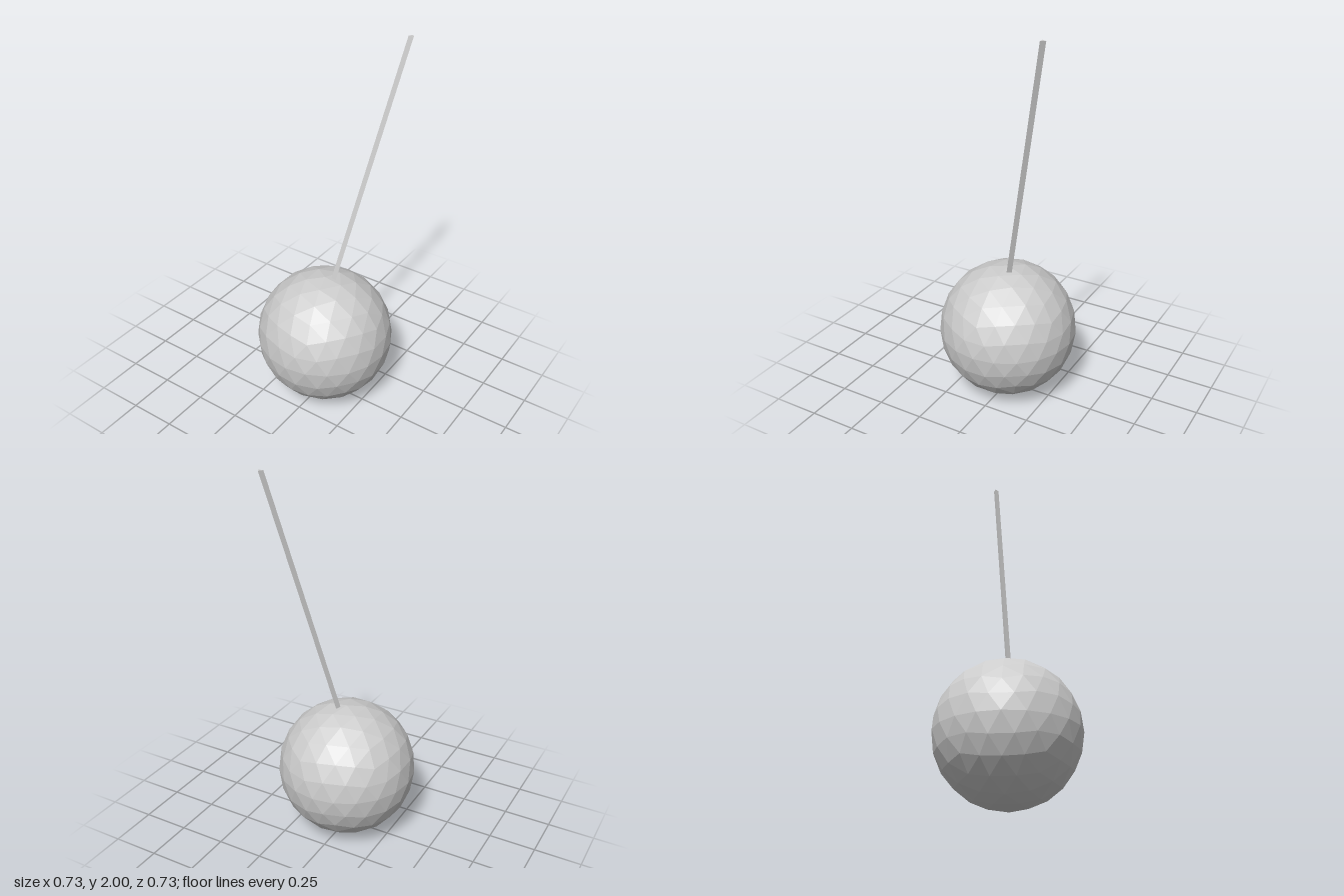
import * as THREE from 'three';

const RADIUS = 0.365;

// Icosphere standing on a vertex, each face halved `levels` times
function icosphere(radius, levels) {
  const lat = Math.atan(0.5);
  const ring = (sign, offset) => [0, 1, 2, 3, 4].map((k) => {
    const a = (k + offset) * Math.PI * 0.4;
    return new THREE.Vector3(Math.cos(lat) * Math.cos(a), sign * Math.sin(lat), Math.cos(lat) * Math.sin(a));
  });
  const top = new THREE.Vector3(0, 1, 0), bottom = new THREE.Vector3(0, -1, 0);
  const upper = ring(1, 0), lower = ring(-1, 0.5);
  const points = [];
  const mid = (p, q) => p.clone().add(q).normalize();
  const split = (a, b, c, n) => {
    if (n === 0) {
      points.push(...[a, b, c].map((p) => p.clone().multiplyScalar(radius)));
      return;
    }
    const ab = mid(a, b), bc = mid(b, c), ca = mid(c, a);
    split(a, ab, ca, n - 1);
    split(ab, b, bc, n - 1);
    split(ca, bc, c, n - 1);
    split(ab, bc, ca, n - 1);
  };
  for (let k = 0; k < 5; k++) {
    const j = (k + 1) % 5;
    split(top, upper[j], upper[k], levels);
    split(upper[k], upper[j], lower[k], levels);
    split(lower[j], lower[k], upper[j], levels);
    split(bottom, lower[k], lower[j], levels);
  }
  const geometry = new THREE.BufferGeometry().setFromPoints(points);
  geometry.computeVertexNormals();
  return geometry;
}

// Three-sided rod with level ends, sheared to run from one point to another
function slantedRod(from, to, radius) {
  const d = to.clone().sub(from);
  const geometry = new THREE.CylinderGeometry(radius, radius, d.y, 3, 1, false, Math.PI);
  geometry.translate(0, d.y / 2, 0);
  geometry.applyMatrix4(new THREE.Matrix4().set(
    1, d.x / d.y, 0, from.x,
    0, 1, 0, from.y,
    0, d.z / d.y, 1, from.z,
    0, 0, 0, 1,
  ));
  return geometry;
}

export function createModel() {
  const group = new THREE.Group();
  const material = new THREE.MeshStandardMaterial({ color: 0xcccccc, flatShading: true });

  // Faceted ball
  const ball = new THREE.Mesh(icosphere(RADIUS, 2), material);
  ball.name = 'ball';
  ball.position.y = RADIUS;
  group.add(ball);

  // Thin leaning rod rising from the top of the ball
  const rod = new THREE.Mesh(slantedRod(
    new THREE.Vector3(0.04, 0.72, -0.028),
    new THREE.Vector3(0.264, 2, -0.317),
    0.0156,
  ), material);
  rod.name = 'rod';
  group.add(rod);

  return group;
}
